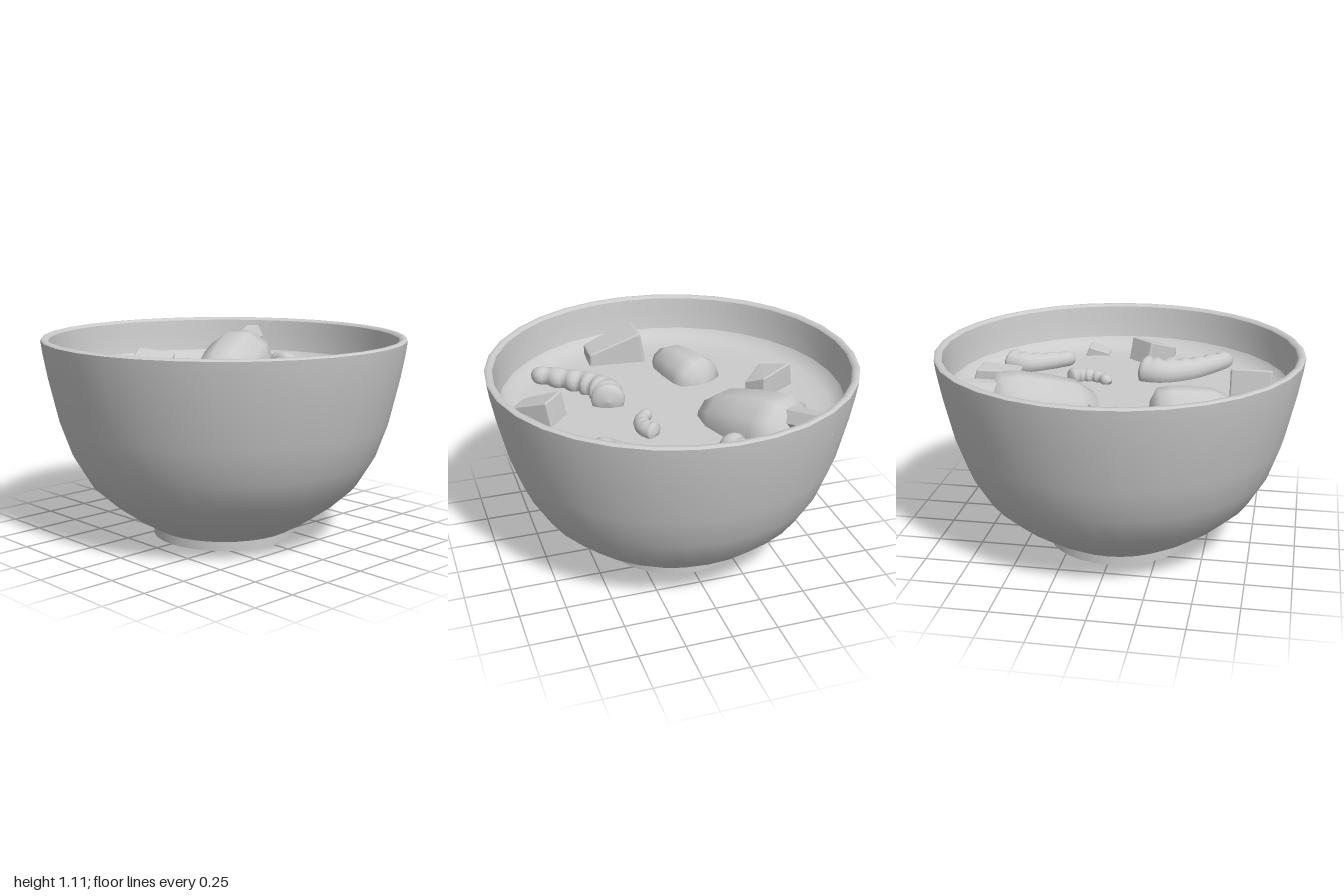
import * as THREE from 'three';
import { RoundedBoxGeometry } from 'three/addons/geometries/RoundedBoxGeometry.js';
import { mergeVertices } from 'three/addons/utils/BufferGeometryUtils.js';

const material = new THREE.MeshStandardMaterial({ color: 0xcccccc, side: THREE.DoubleSide });
const SOUP_Y = 0.845;
const V = (x, y, z) => new THREE.Vector3(x, y, z);

function add(parent, name, geometry) {
  const mesh = new THREE.Mesh(geometry, material);
  mesh.name = name;
  parent.add(mesh);
  return mesh;
}

function lathe(parent, name, points) {
  return add(parent, name, new THREE.LatheGeometry(points.map(([r, y]) => new THREE.Vector2(r, y)), 32));
}

// Closed skin over rings: each ring has a centre, a tangent and a radius rule by angle.
function loft(rings, sides) {
  const pos = [], index = [];
  rings.forEach(({ center, tangent, radius }, j) => {
    const side = tangent.clone().cross(V(0, 1, 0)).normalize();
    const up = side.clone().cross(tangent).normalize();
    for (let i = 0; i < sides; i++) {
      const a = (i / sides) * Math.PI * 2, r = radius(a);
      const p = center.clone().addScaledVector(side, Math.cos(a) * r).addScaledVector(up, Math.sin(a) * r);
      pos.push(p.x, p.y, p.z);
      if (j === rings.length - 1) continue;
      const n = j * sides + i, m = j * sides + ((i + 1) % sides);
      index.push(n, n + sides, m, m, n + sides, m + sides);
    }
  });
  const g = new THREE.BufferGeometry();
  g.setAttribute('position', new THREE.Float32BufferAttribute(pos, 3));
  g.setIndex(index);
  g.computeVertexNormals();
  return g;
}

// Chunk of meat: blunt barrel along a direction, starting at its wider end.
const MEAT = [[-0.07, 0], [-0.05, 0.11], [0, 0.195], [0.1, 0.208], [0.25, 0.2], [0.42, 0.178], [0.53, 0.12], [0.56, 0]];
function meat(parent, name, start, direction, scale) {
  const tangent = direction.clone().normalize();
  const rings = MEAT.map(([s, r]) => ({
    center: start.clone().addScaledVector(tangent, s * scale), tangent, radius: () => r * scale,
  }));
  return add(parent, name, loft(rings, 10));
}

// Shrimp: curved tapering body, with segment bumps on the outer side of the bend.
function shrimp(parent, path, y, size, outer, bumps) {
  const curve = new THREE.CatmullRomCurve3(path.map(([x, z]) => V(x, y, z)));
  const steps = bumps * 6;
  const rings = [];
  for (let k = 0; k <= steps; k++) {
    const t = k / steps;
    const cap = Math.min(1, Math.sqrt(Math.max(0, 1 - (1 - Math.min(t, 1 - t) * 10) ** 2)) + (t > 0.1 && t < 0.9 ? 1 : 0));
    const base = size * cap * (1 - 0.45 * t);
    const bump = Math.abs(Math.sin(t * bumps * Math.PI)) - 0.4;
    rings.push({
      center: curve.getPoint(t),
      tangent: curve.getTangent(t),
      radius: (a) => base * (1 + 0.35 * bump * Math.max(0, 0.35 + 0.65 * outer * Math.cos(a))),
    });
  }
  return add(parent, 'shrimp', loft(rings, 14));
}

// Vegetable wedge between a wide end and a narrow end, each [x, z, width, top height].
function wedge(parent, wide, narrow, roll = 0) {
  const g = new RoundedBoxGeometry(1, 1, 1, 2, 0.06);
  g.deleteAttribute('normal');
  g.deleteAttribute('uv');
  const p = g.attributes.position;
  const dir = V(narrow[0] - wide[0], 0, narrow[1] - wide[1]).normalize();
  const side = V(-dir.z, 0, dir.x);
  for (let i = 0; i < p.count; i++) {
    const t = p.getX(i) + 0.5, h = p.getY(i) + 0.5, s = p.getZ(i);
    const mix = (k) => wide[k] + (narrow[k] - wide[k]) * t;
    const w = s * mix(2);
    const lean = (1 - t) * h * 0.04; // the tall end face leans inwards
    p.setXYZ(i, mix(0) + side.x * w + dir.x * lean,
      0.8 + h * (mix(3) - 0.8 + roll * s), mix(1) + side.z * w + dir.z * lean);
  }
  const merged = mergeVertices(g, 1e-4);
  merged.computeVertexNormals();
  return add(parent, 'vegetableWedge', merged);
}

export function createModel() {
  const model = new THREE.Group();
  model.name = 'bowlOfSoup';

  // Bowl: flat base, foot, wall, rim and inner wall
  const bowl = new THREE.Group();
  bowl.name = 'bowl';
  model.add(bowl);
  lathe(bowl, 'base', [[0, 0], [0.4, 0]]);
  lathe(bowl, 'foot', [[0.4, 0], [0.4, 0.05]]);
  lathe(bowl, 'outerWall', [[0.4, 0.05], [0.51, 0.115], [0.63, 0.2], [0.75, 0.31], [0.845, 0.47],
    [0.91, 0.655], [0.965, 0.895], [0.99, 1.03], [1, 1.105]]);
  lathe(bowl, 'rim', [[1, 1.105], [0.99, 1.114], [0.97, 1.114], [0.958, 1.1]]);
  lathe(bowl, 'innerWall', [[0.958, 1.1], [0.95, 1.03], [0.935, 0.9], [0.88, 0.68], [0.8, 0.47], [0.6, 0.25], [0, 0.12]]);

  // Soup, rising slightly where it meets the wall
  lathe(model, 'soup', [[0.94, 0.92], [0.915, 0.885], [0.87, 0.86], [0.8, 0.848], [0.7, SOUP_Y], [0, SOUP_Y]]);

  // Meat on a six-sided bone, and a smaller boneless piece
  const drumstick = new THREE.Group();
  drumstick.name = 'drumstick';
  model.add(drumstick);
  const axis = V(0.49, -0.16, 0.87).normalize();
  const start = V(-0.44, 0.88, -0.58);
  meat(drumstick, 'meat', start, axis, 1);
  const bone = add(drumstick, 'bone', new THREE.CylinderGeometry(0.068, 0.068, 0.26, 6).toNonIndexed());
  bone.geometry.computeVertexNormals();
  bone.position.set(-0.495, 0.99, -0.67);
  bone.quaternion.setFromUnitVectors(V(0, 1, 0), axis);
  meat(model, 'smallMeat', V(-0.245, 0.835, 0.245), V(0.27, 0, 0.96), 0.71);

  // Vegetable wedges
  wedge(model, [-0.04, 0.715, 0.23, 1.03], [0.3, 0.725, 0.18, 0.91]);
  wedge(model, [-0.68, 0.136, 0.2, 0.96], [-0.47, -0.03, 0.12, 0.94], -0.05);
  wedge(model, [0.13, -0.87, 0.17, 0.93], [0.135, -0.595, 0.12, 0.92]);
  wedge(model, [0.76, -0.35, 0.15, 0.9], [0.765, -0.19, 0.1, 0.86]);
  wedge(model, [0.62, 0, 0.175, 0.98], [0.82, 0.17, 0.125, 0.9]);

  // Shrimp: path points [x, z] from head to tail
  shrimp(model, [[0.39, -0.74], [0.36, -0.62], [0.42, -0.5], [0.53, -0.36]], 0.88, 0.075, -1, 5);
  shrimp(model, [[0.19, -0.33], [0.235, -0.26], [0.23, -0.17], [0.16, -0.08]], 0.865, 0.052, 1, 5);
  shrimp(model, [[0.34, 0.06], [0.315, 0.18], [0.38, 0.32], [0.51, 0.44], [0.67, 0.56]], 0.88, 0.09, -1, 7);
  shrimp(model, [[-0.11, -0.56], [-0.135, -0.66], [-0.23, -0.69], [-0.34, -0.68], [-0.45, -0.65]], 0.88, 0.07, -1, 5);

  // Shrimp bends outwards on opposite sides, so every piece sits half sunk in the soup
  return model;
}
